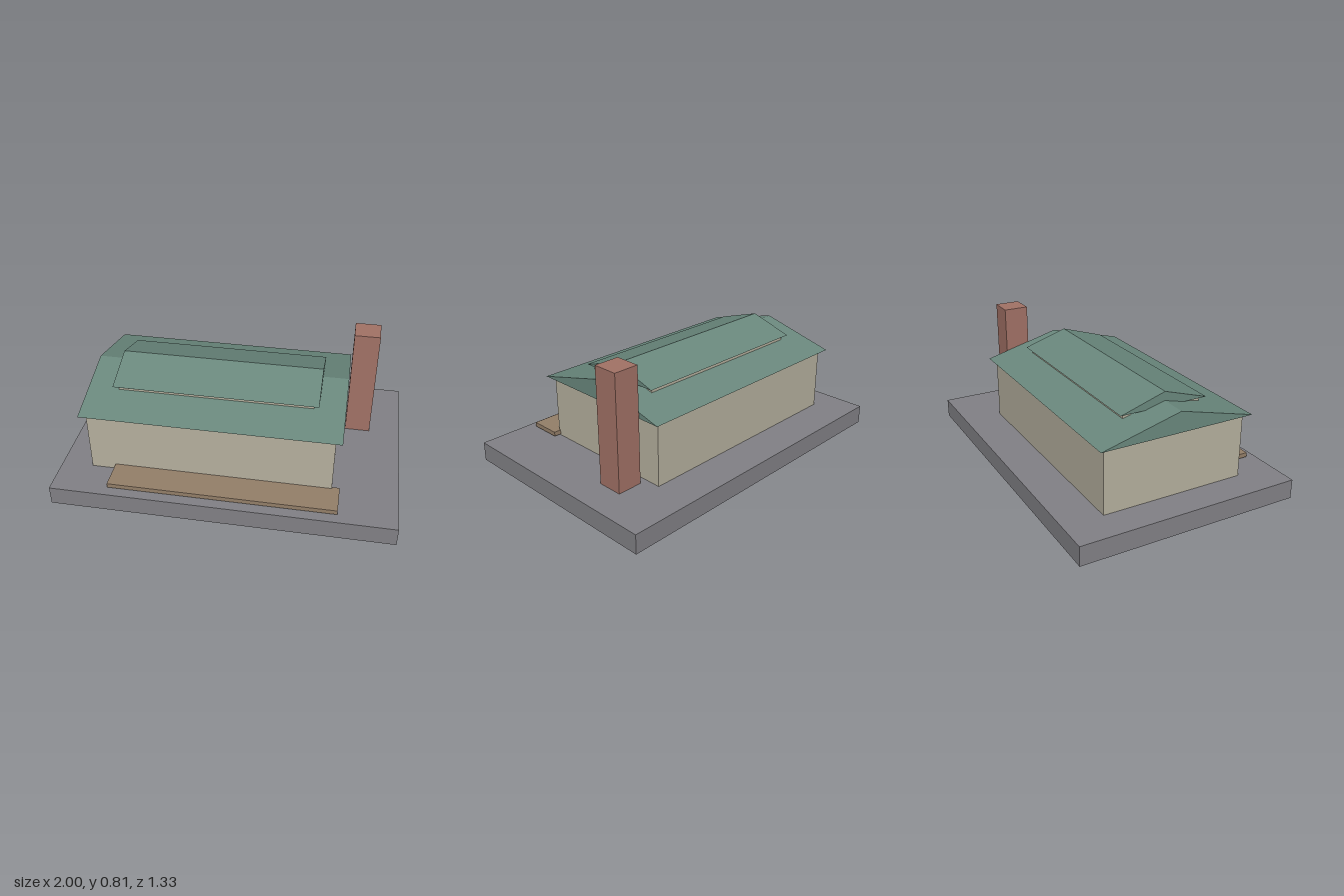
import * as THREE from 'three';

const material = (name, color) => {
  const m = new THREE.MeshStandardMaterial({ color });
  m.name = name;
  return m;
};

export function createModel() {
  const group = new THREE.Group();
  group.name = 'house';

  const stone = material('grey stone', 0x828186);
  const plaster = material('beige plaster', 0xb6b09e);
  const tile = material('green roof', 0x6a887d);
  const brick = material('red brick', 0xa27266);
  const wood = material('brown wood', 0x947f69);

  const add = (name, geometry, mat) => {
    const mesh = new THREE.Mesh(geometry, mat);
    mesh.name = name;
    group.add(mesh);
    return mesh;
  };

  // Box given by its lower and upper limits on each axis
  const box = (name, mat, [x0, x1], [y0, y1], [z0, z1]) =>
    add(name, new THREE.BoxGeometry(x1 - x0, y1 - y0, z1 - z0), mat)
      .position.set((x0 + x1) / 2, (y0 + y1) / 2, (z0 + z1) / 2);

  // Closed gable prism with its ridge along x
  const gableRoof = (name, [x0, x1], eave, ridge, halfDepth) => {
    const profile = new THREE.Shape();
    profile.moveTo(-halfDepth, eave);
    profile.lineTo(halfDepth, eave);
    profile.lineTo(0, ridge);
    profile.closePath();
    const geometry = new THREE.ExtrudeGeometry(profile, { depth: x1 - x0, bevelEnabled: false });
    geometry.rotateY(Math.PI / 2).translate(x0, 0, 0);
    add(name, geometry, tile);
  };

  // Ground slab and porch deck
  box('base', stone, [-1, 1], [0, 0.115], [-0.667, 0.667]);
  box('porchDeck', wood, [-0.667, 0.662], [0.121, 0.148], [0.42, 0.61]);

  // Main storey
  box('walls', plaster, [-0.813, 0.617], [0.115, 0.5], [-0.432, 0.432]);
  gableRoof('mainRoof', [-0.85, 0.655], 0.499, 0.621, 0.467);

  // Raised upper tier
  box('upperWalls', plaster, [-0.667, 0.475], [0.51, 0.59], [-0.24, 0.24]);
  gableRoof('upperRoof', [-0.695, 0.504], 0.589, 0.673, 0.267);

  // Free-standing chimney
  box('chimney', brick, [0.662, 0.814], [0.115, 0.805], [-0.338, -0.187]);

  return group;
}
